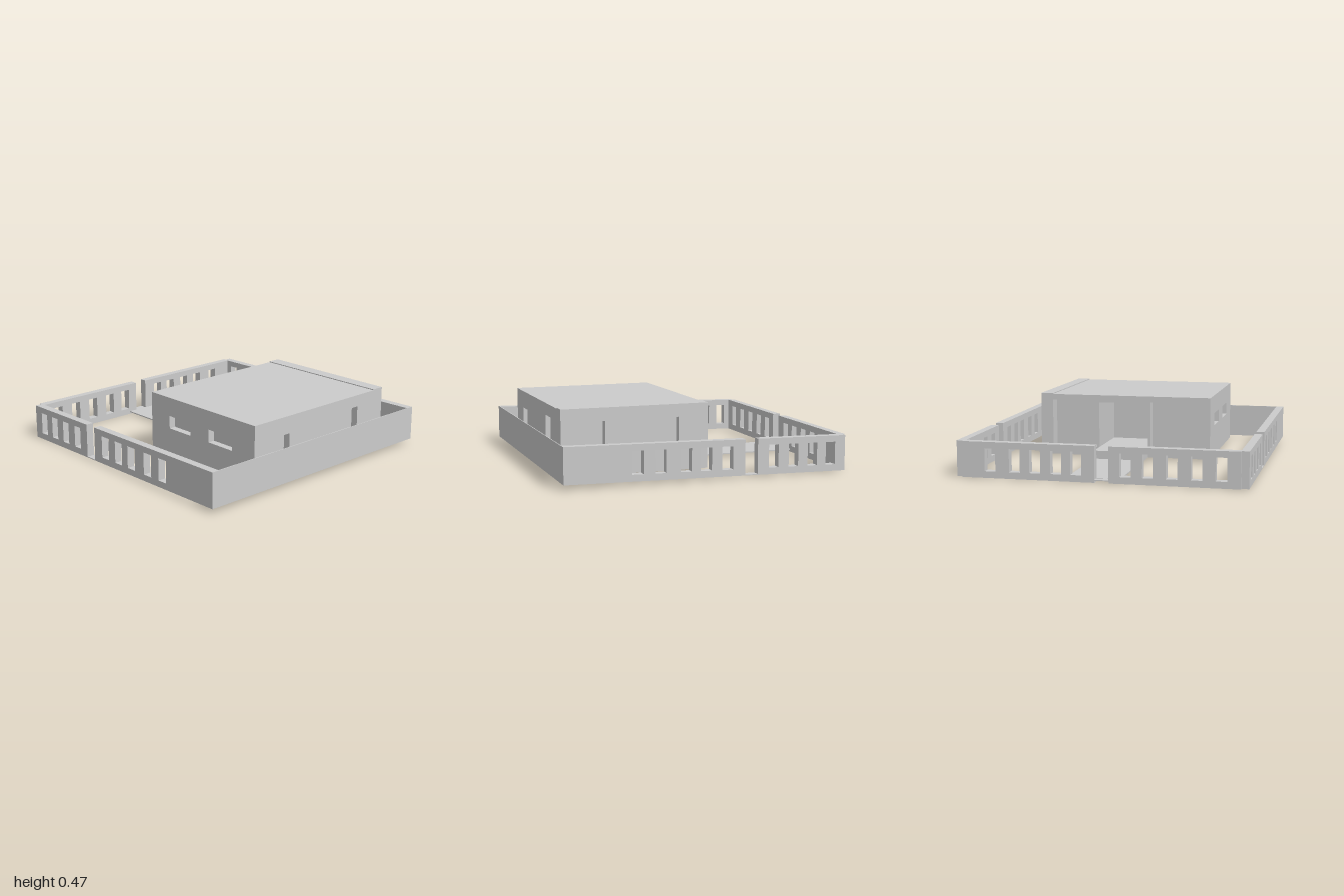
import * as THREE from 'three';

const material = new THREE.MeshStandardMaterial({ color: 0xcccccc, flatShading: true, side: THREE.DoubleSide });

// The boundary walls lean slightly: they rise toward the front and drift sideways
const shear = new THREE.Matrix4().set(
  1, 0, -0.015, 0,
  0, 1, 0.0155, 0.0155,
  0, 0, 1, 0,
  0, 0, 0, 1);

function add(parent, name, geometry) {
  const mesh = new THREE.Mesh(geometry, material);
  mesh.name = name;
  parent.add(mesh);
  return mesh;
}

// Box given by its limits on each axis
function box(x0, x1, y0, y1, z0, z1) {
  return new THREE.BoxGeometry(x1 - x0, y1 - y0, z1 - z0)
    .translate((x0 + x1) / 2, (y0 + y1) / 2, (z0 + z1) / 2);
}

// Upright slab from u0 to u1 with rectangular holes [u0, u1, y0, y1]
function pierced(u0, u1, y0, y1, holes, depth) {
  const outline = (a, b, c, d) => [[a, c], [b, c], [b, d], [a, d]].map(p => new THREE.Vector2(...p));
  const shape = new THREE.Shape(outline(u0, u1, y0, y1));
  for (const h of holes) shape.holes.push(new THREE.Path(outline(...h)));
  return new THREE.ExtrudeGeometry(shape, { depth, bevelEnabled: false });
}

// Wall running along x, starting at z
const wallX = (u0, u1, y0, y1, holes, z, depth) =>
  pierced(u0, u1, y0, y1, holes, depth).translate(0, 0, z);

// Wall running along z, starting at x
const wallZ = (u0, u1, y0, y1, holes, x, depth) =>
  pierced(u0, u1, y0, y1, holes, depth).rotateY(-Math.PI / 2).translate(x + depth, 0, 0);

function createBoundary() {
  const group = new THREE.Group();
  group.name = 'boundaryWall';
  const H = 0.243, T = 0.055;
  const openings = (centres, w) => centres.map(c => [c - w / 2, c + w / 2, 0.045, 0.2]);
  const leaning = (name, geometry) => add(group, name, geometry.applyMatrix4(shear));

  // Side walls, each in two lengths with a gap and a thin sill across it
  for (const [side, x] of [['left', 0.925], ['right', -0.985]]) {
    leaning(side + 'WallFront',
      wallZ(-0.245, 0.99, 0, H, openings([0.5, 0.345, 0.17, 0.03, -0.12], 0.078), x, T));
    leaning(side + 'WallBack',
      wallZ(-0.98, -0.335, 0, H, openings([-0.45, -0.595, -0.735, -0.87], 0.07), x, T));
    leaning(side + 'GapSill', box(x, x + T, 0, 0.006, -0.335, -0.245));
  }

  // Back wall either side of the gate
  leaning('backWallLeft',
    wallX(0.025, 0.935, 0, H, openings([0.15, 0.285, 0.43, 0.57, 0.74], 0.075), -1, T));
  leaning('backWallRight',
    wallX(-0.935, -0.07, 0, H, openings([-0.18, -0.33, -0.49, -0.65, -0.81], 0.075), -1, T));

  // Plain thin front wall
  leaning('frontWall', box(-0.985, 0.98, 0, H, 0.984, 0.99));
  return group;
}

function createHouse() {
  const group = new THREE.Group();
  group.name = 'house';
  const X0 = -0.58, X1 = 0.68, Z0 = -0.1, Z1 = 0.93, Y0 = 0.02, Y1 = 0.46, T = 0.05;

  // Outer walls with window and door openings
  add(group, 'frontWindowWall', wallX(X0, X1, Y0, Y1,
    [[-0.39, -0.26, 0.2, 0.34], [0.28, 0.42, 0.2, 0.38]], Z1 - T, T));
  add(group, 'backWindowWall', wallX(X0, X1, Y0, Y1,
    [[0.26, 0.59, 0.08, 0.42], [-0.12, 0.24, 0.08, 0.41], [-0.5, -0.14, 0.08, 0.42]], Z0, 0.1));
  add(group, 'leftWindowWall', wallZ(0, Z1 - T, Y0, Y1,
    [[0.63, 0.84, 0.16, 0.38], [0.11, 0.42, 0.2, 0.38]], X1 - T, T));
  add(group, 'rightWindowWall', wallZ(0, Z1 - T, Y0, Y1,
    [[0.09, 0.31, 0.24, 0.33], [0.49, 0.72, 0.24, 0.33]], X0, T));

  // Inner core behind the windows, notched for the entrance recess
  const plan = new THREE.Shape([
    [X0 + T, 0], [-0.12, 0], [-0.12, 0.35], [0.24, 0.35],
    [0.24, 0], [X1 - T, 0], [X1 - T, Z1 - T], [X0 + T, Z1 - T],
  ].map(p => new THREE.Vector2(...p)));
  add(group, 'innerRooms', new THREE.ExtrudeGeometry(plan, { depth: 0.42, bevelEnabled: false })
    .rotateX(Math.PI / 2).translate(0, 0.445, 0));

  // Floor and ceiling of the recess, roof and its raised edge
  add(group, 'entranceFloor', box(-0.12, 0.24, Y0, 0.08, 0, 0.35));
  add(group, 'entranceCeiling', box(-0.12, 0.24, 0.41, 0.445, 0, 0.35));
  add(group, 'floor', box(X0, X1, Y0 - 0.002, Y0 + 0.003, Z0, Z1));
  add(group, 'roof', box(X0, X1, Y1 - 0.01, Y1 + 0.002, Z0, Z1));
  add(group, 'roofEdge', box(0.59, X1, Y1, 0.468, Z0, Z1));
  return group;
}

function createPath() {
  const group = new THREE.Group();
  group.name = 'entrancePath';
  add(group, 'path', box(-0.12, 0.24, 0.014, 0.022, -0.945, -0.1));
  add(group, 'step', box(-0.12, 0.24, 0.018, 0.08, -0.26, -0.1));
  add(group, 'gateSill', box(-0.055, 0.04, 0.014, 0.02, -1, -0.945));
  return group;
}

export function createModel() {
  const model = new THREE.Group();
  model.name = 'walledHouse';
  model.add(createBoundary(), createHouse(), createPath());
  return model;
}
